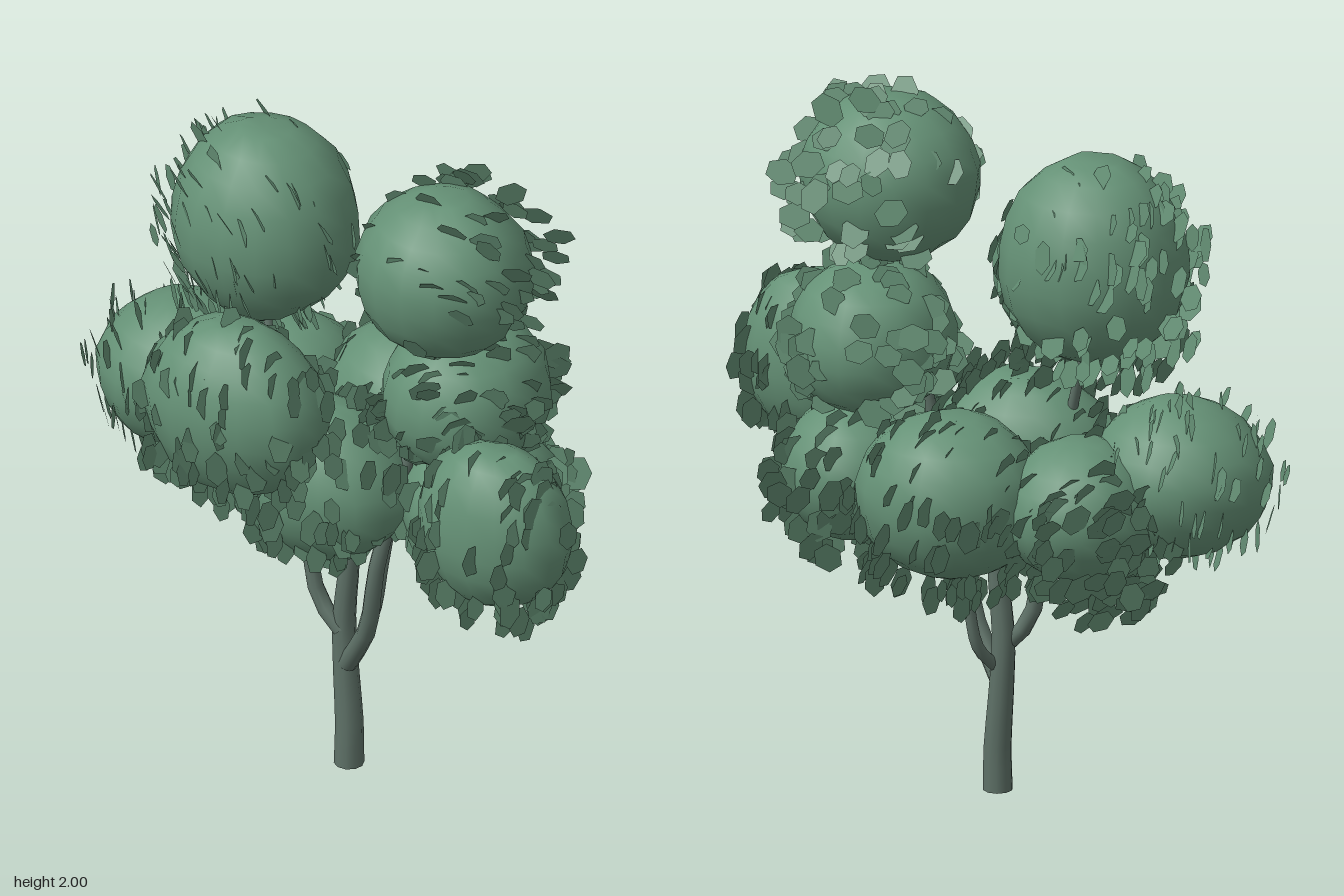
import * as THREE from 'three';
import { mergeGeometries, mergeVertices } from 'three/addons/utils/BufferGeometryUtils.js';

const V = (a) => new THREE.Vector3(...a);

// Small seeded random generator
let seed = 7;
function rnd() {
  seed = (seed * 16807) % 2147483647;
  return seed / 2147483647;
}
const spread = (s) => (rnd() * 2 - 1) * s;

// Tapered limb following a smooth path
function limb(points, r0, r1) {
  const curve = new THREE.CatmullRomCurve3(points.map(V));
  const segs = 16, sides = 10;
  const geo = new THREE.TubeGeometry(curve, segs, 1, sides, false);
  const pos = geo.attributes.position, v = new THREE.Vector3();
  for (let i = 0; i < pos.count; i++) {
    const t = Math.floor(i / (sides + 1)) / segs;
    const c = curve.getPointAt(t);
    v.fromBufferAttribute(pos, i).sub(c).multiplyScalar(r0 + (r1 - r0) * t).add(c);
    pos.setXYZ(i, v.x, v.y, v.z);
  }
  return geo;
}

// Slightly lumpy ellipsoid with dimpled poles
function clump(center, radii, phase) {
  let geo = new THREE.SphereGeometry(1, 16, 11);
  geo.deleteAttribute('uv');
  geo.deleteAttribute('normal');
  geo = mergeVertices(geo, 1e-4);
  const pos = geo.attributes.position, v = new THREE.Vector3();
  for (let i = 0; i < pos.count; i++) {
    v.fromBufferAttribute(pos, i);
    const lump = 1.005 + 0.02 * Math.sin(v.x * 5 + phase) * Math.cos(v.z * 5 - phase)
      + 0.01 * Math.sin(v.y * 6 + phase * 2) + spread(0.014);
    const dimple = Math.abs(v.y) > 0.999 ? 0.94 : 1;
    v.multiplyScalar(lump * dimple);
    pos.setXYZ(i, v.x, v.y, v.z);
  }
  geo.scale(...radii);
  geo.translate(...center);
  geo.computeVertexNormals();
  return geo;
}

// Flat six-sided leaves scattered over a clump, all facing much the same way
function leaves(center, radii, facing, shift, count) {
  const parts = [];
  const up = new THREE.Vector3(0, 0, 1);
  for (let i = 0; i < count; i++) {
    const y = spread(1), a = rnd() * Math.PI * 2, h = Math.sqrt(1 - y * y);
    const k = 0.94 + rnd() * 0.14;
    const p = new THREE.Vector3(Math.cos(a) * h, y, Math.sin(a) * h)
      .multiplyScalar(k).multiply(V(radii)).add(V(center)).addScaledVector(V(shift), rnd());
    const n = V(facing).normalize().add(V([spread(0.2), spread(0.2), spread(0.2)])).normalize();
    const leaf = new THREE.CircleGeometry(0.03 + rnd() * 0.014, 6);
    leaf.scale(0.95, 1.2, 1);
    leaf.rotateZ(spread(0.6));
    leaf.applyQuaternion(new THREE.Quaternion().setFromUnitVectors(up, n));
    leaf.translate(p.x, p.y, p.z);
    parts.push(leaf);
  }
  return mergeGeometries(parts);
}

export function createModel() {
  seed = 7;
  const bark = new THREE.MeshStandardMaterial({ color: 0x5f7268 });
  bark.name = 'bark';
  const foliage = new THREE.MeshStandardMaterial({ color: 0x659176 });
  foliage.name = 'foliage green';
  const leafGreen = new THREE.MeshStandardMaterial({ color: 0x628c72, side: THREE.DoubleSide });
  leafGreen.name = 'leaf green';

  const tree = new THREE.Group();
  tree.name = 'tree';
  const add = (name, geo, mat) => {
    const mesh = new THREE.Mesh(geo, mat);
    mesh.name = name;
    tree.add(mesh);
  };

  // Trunk with a closed foot
  add('trunk', limb([[0.012, 0, -0.004], [0.012, 0.12, -0.006], [0.0, 0.28, -0.01], [-0.008, 0.44, -0.012],
    [0.013, 0.65, -0.005], [0.02, 0.85, 0], [0.02, 1.05, 0.04]], 0.042, 0.02), bark);
  const foot = new THREE.CircleGeometry(0.042, 10);
  foot.rotateX(Math.PI / 2);
  foot.translate(0.012, 0.001, -0.004);
  add('trunkFoot', foot, bark);

  // Branches reaching into the foliage: path, start radius, end radius
  const branches = [
    [[[0.01, 0.32, 0], [0.1, 0.48, 0.045], [0.15, 0.72, 0.075], [0.24, 1.15, 0.02], [0.35, 1.6, 0.05]], 0.028, 0.012],
    [[[-0.01, 0.42, 0], [-0.08, 0.5, 0], [-0.12, 0.7, 0], [-0.18, 1.05, 0.03], [-0.3, 1.5, -0.05]], 0.025, 0.01],
    [[[0.01, 0.36, -0.02], [0.04, 0.43, -0.08], [0.06, 0.6, -0.11], [0.07, 0.85, -0.18]], 0.018, 0.012],
    [[[-0.12, 0.68, 0], [-0.25, 0.84, -0.03], [-0.5, 1.0, -0.12]], 0.012, 0.007],
    [[[0.01, 0.68, 0], [-0.02, 0.9, 0.15], [-0.08, 1.3, 0.42]], 0.016, 0.008],
    [[[0.06, 0.62, -0.11], [0.04, 0.75, -0.22], [0.01, 0.95, -0.36]], 0.012, 0.008],
    [[[-0.12, 0.68, 0], [-0.2, 0.78, -0.12], [-0.34, 0.95, -0.3]], 0.012, 0.008],
  ];
  branches.forEach(([path, r0, r1], i) => add(`branch${i + 1}`, limb(path, r0, r1), bark));

  // Foliage: name, centre, radii, leaf facing, leaf drift, leaf count
  const clumps = [
    ['topLeft', [0.355, 1.715, 0.065], [0.25, 0.24, 0.235], [-0.2, 0.4, -0.9], [0.06, 0.03, -0.05], 75],
    ['topRight', [-0.305, 1.6, -0.09], [0.265, 0.295, 0.245], [0.6, 0.25, -0.75], [-0.06, -0.06, 0], 150],
    ['frontMiddle', [-0.08, 1.355, 0.45], [0.275, 0.26, 0.185], [0.95, 0.3, 0.2], [-0.02, -0.08, 0.01], 120],
    ['middleLeft', [0.365, 1.28, -0.04], [0.23, 0.22, 0.255], [-0.5, 0.3, -0.8], [-0.01, 0, -0.03], 120],
    ['lowRight', [-0.57, 1.02, -0.125], [0.26, 0.22, 0.235], [0.85, 0.2, -0.5], [-0.04, 0, 0.02], 110],
    ['lowLeft', [0.635, 1.095, 0.265], [0.23, 0.245, 0.165], [0.92, 0.12, 0.36], [0.02, -0.07, 0.02], 120],
    ['lowFront', [-0.035, 0.95, 0.08], [0.28, 0.24, 0.2], [0.93, 0.3, 0.3], [-0.02, 0.07, 0.07], 150],
    ['lowBack', [0.01, 0.97, -0.365], [0.265, 0.235, 0.235], [1, 0.2, 0.3], [0, -0.07, -0.03], 130],
    ['lowBackRight', [-0.35, 0.95, -0.3], [0.22, 0.2, 0.22], [-0.65, -0.25, -0.68], [-0.07, -0.1, -0.04], 190],
    ['lowSide', [0.38, 0.92, -0.09], [0.215, 0.205, 0.25], [0.6, 0.2, 0.75], [0.04, -0.07, -0.06], 130],
  ];
  clumps.forEach(([name, c, r, facing, shift, count], i) => {
    add(`${name}Clump`, clump(c, r, i * 1.7), foliage);
    add(`${name}Leaves`, leaves(c, r, facing, shift, count), leafGreen);
  });

  return tree;
}
